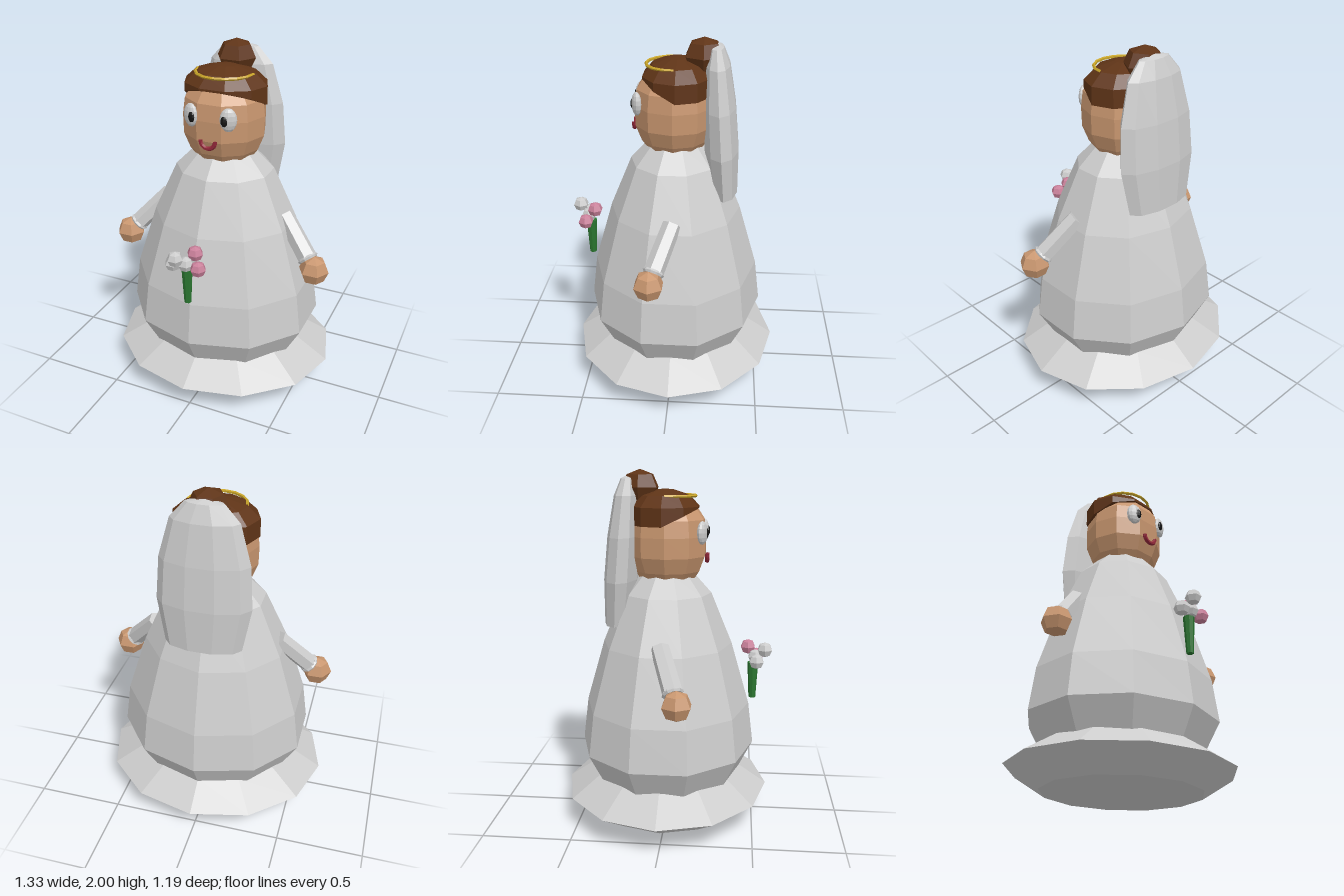
import * as THREE from 'three';

const mat = (color) => new THREE.MeshStandardMaterial({ color, flatShading: true, side: THREE.DoubleSide });
const cloth = mat(0xcccccc), skin = mat(0xc8966f), brown = mat(0x5f3417), gold = mat(0xc9a52a);
const green = mat(0x2a7530), pink = mat(0xc9809a), black = mat(0x141414), red = mat(0x94283a);

export function createModel() {
  const model = new THREE.Group();

  function add(name, geometry, material, x = 0, y = 0, z = 0) {
    const mesh = new THREE.Mesh(geometry, material);
    mesh.name = name;
    mesh.position.set(x, y, z);
    model.add(mesh);
    return mesh;
  }

  // Faceted ellipsoid
  const ball = (rx, ry, rz, w, h) => new THREE.SphereGeometry(1, w, h).scale(rx, ry, rz);

  // Faceted solid of revolution; the profile lists [radius, y] from bottom to top
  const turned = (profile, sides, sx, sz, turn = 0) => new THREE.LatheGeometry(
    profile.map(([r, y]) => new THREE.Vector2(r, y)), sides, turn).scale(sx, 1, sz);

  // Hem and gown
  add('hem', ball(0.66, 0.165, 0.59, 12, 4), cloth, 0, 0.17, -0.01);
  add('gown', turned([[0, 0.2], [0.39, 0.2], [0.505, 0.43], [0.475, 0.67], [0.37, 1.03],
    [0.25, 1.32], [0.15, 1.43], [0, 1.44]], 10, 1.115, 1), cloth, 0, 0, -0.008);

  // Head
  add('head', turned([[0, 1.4], [0.17, 1.41], [0.195, 1.445], [0.229, 1.53], [0.232, 1.64],
    [0.22, 1.73], [0.17, 1.8], [0, 1.83]], 10, 1, 0.96, Math.PI / 10), skin, 0, 0, -0.005);

  // Hair cap with its lower edge rising over the forehead
  const cap = turned([[0.2, 1.7], [0.237, 1.7], [0.237, 1.8], [0.17, 1.86], [0.06, 1.89], [0, 1.895]],
    10, 1, 0.82, Math.PI / 10);
  const p = cap.attributes.position;
  for (let i = 0; i < p.count; i++) {
    if (p.getY(i) < 1.75) p.setY(i, 1.7 + 0.48 * Math.max(0, p.getZ(i)));
  }
  add('hairCap', cap, brown, 0, 0, -0.02);
  add('hairBun', ball(0.112, 0.098, 0.112, 6, 4), brown, 0, 1.902, -0.16);

  // Headband
  add('headband', new THREE.TorusGeometry(0.16, 0.009, 5, 8, Math.PI).rotateX(Math.PI / 2),
    gold, 0, 1.857, -0.01);

  // Veil, leaning back towards its lower end
  const veil = turned([[0, 1.17], [0.17, 1.14], [0.21, 1.15], [0.255, 1.4], [0.24, 1.64],
    [0.18, 1.86], [0.1, 1.95], [0, 1.97]], 10, 1.02, 0.38, Math.PI / 10);
  const v = veil.attributes.position;
  for (let i = 0; i < v.count; i++) v.setZ(i, v.getZ(i) - 0.225 - 0.07 * (1.97 - v.getY(i)));
  add('veil', veil, cloth);

  // Smile
  add('mouth', new THREE.TorusGeometry(0.042, 0.012, 6, 10, Math.PI).rotateZ(Math.PI),
    red, 0, 1.54, 0.216);

  // Eyes, arms and hands on both sides
  for (const [side, s] of [['left', 1], ['right', -1]]) {
    add(side + 'Eye', ball(0.046, 0.064, 0.026, 12, 8), cloth, s * 0.107, 1.663, 0.192)
      .rotation.y = s * 0.35;
    add(side + 'Pupil', ball(0.022, 0.031, 0.014, 10, 6), black, s * 0.095, 1.66, 0.212)
      .rotation.y = s * 0.35;

    const shoulder = new THREE.Vector3(s * 0.36, 1.08, -0.015);
    const wrist = new THREE.Vector3(s * 0.535, 0.885, 0.07);
    const along = wrist.clone().sub(shoulder);
    const turn = new THREE.Quaternion().setFromUnitVectors(
      new THREE.Vector3(0, 1, 0), along.clone().normalize());
    const mid = shoulder.clone().add(wrist).multiplyScalar(0.5);
    add(side + 'Arm', new THREE.CylinderGeometry(0.055, 0.052, along.length(), 6), cloth,
      mid.x, mid.y, mid.z).quaternion.copy(turn);
    add(side + 'Cuff', new THREE.TorusGeometry(0.048, 0.012, 5, 10).rotateX(Math.PI / 2), cloth,
      wrist.x, wrist.y, wrist.z).quaternion.copy(turn);
    add(side + 'Hand', ball(0.085, 0.083, 0.085, 6, 4), skin, s * 0.58, 0.832, 0.093);
  }

  // Bouquet
  add('bouquetStem', new THREE.CylinderGeometry(0.031, 0.02, 0.21, 8), green, 0, 0.812, 0.487);
  const blooms = [[-0.035, 1, 0.552, cloth], [-0.075, 0.94, 0.505, cloth], [0, 0.95, 0.5, cloth],
    [0.035, 1, 0.457, pink], [0.075, 0.94, 0.507, pink]];
  blooms.forEach(([x, y, z, m], i) => add('flower' + (i + 1), ball(0.045, 0.043, 0.045, 6, 4), m, x, y, z));

  return model;
}
